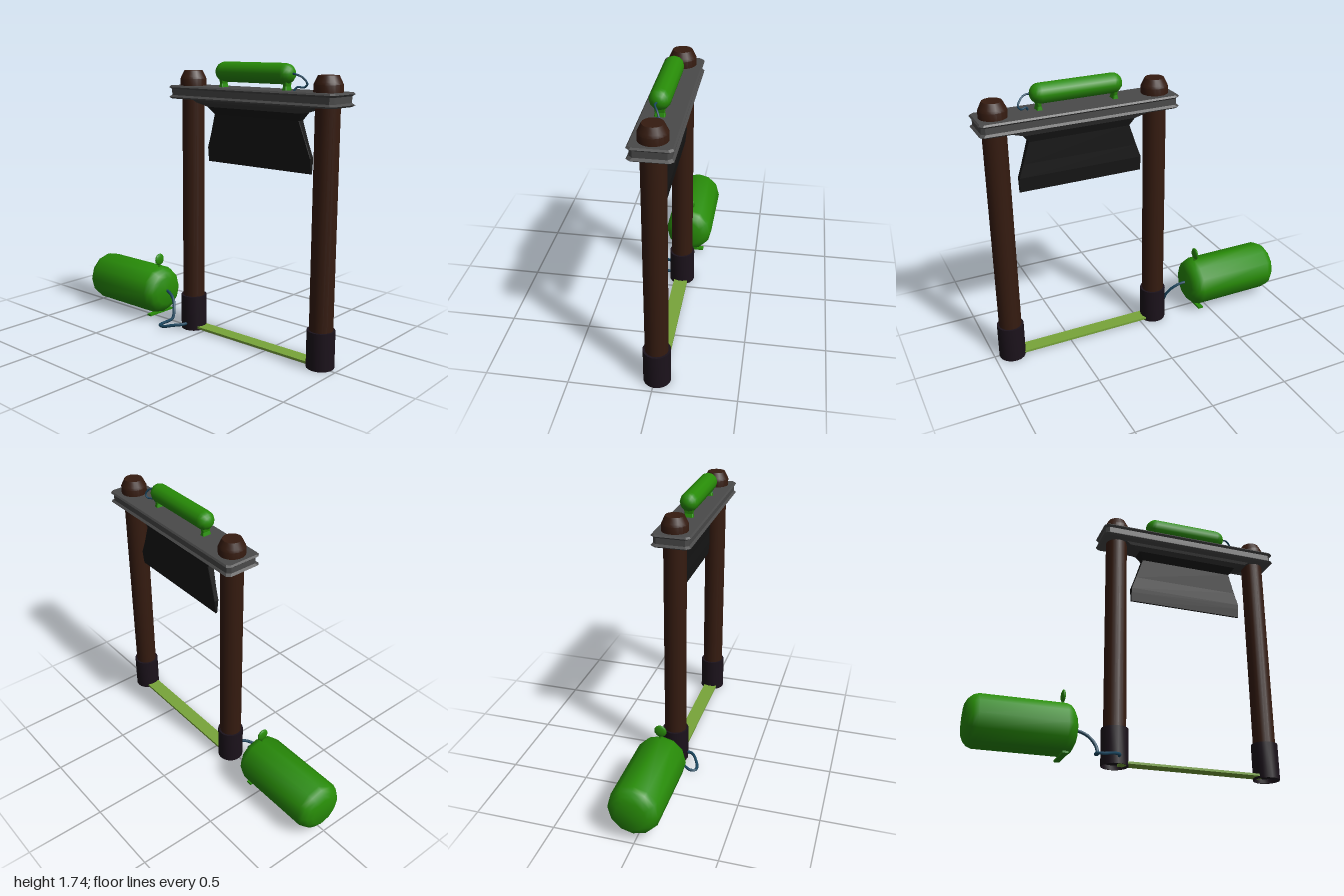
import * as THREE from 'three';
import { mergeVertices, toCreasedNormals } from 'three/addons/utils/BufferGeometryUtils.js';

const Z = -0.014; // depth of the frame's centre line
const mat = (color, flatShading = false) => new THREE.MeshStandardMaterial({ color, flatShading });
const green = mat(0x288c08), wood = mat(0x351b10), sleeve = mat(0x1b121b), hoseBlue = mat(0x1a4761);
const steel = mat(0x4a4a4a, true), darkSteel = mat(0x363636, true), rubber = mat(0x161616, true), olive = mat(0x78a53a);

function add(parent, name, geometry, material, x = 0, y = 0, z = 0) {
  const m = new THREE.Mesh(geometry, material);
  m.name = name;
  m.position.set(x, y, z);
  parent.add(m);
  return m;
}

// Closed loft through rectangles with cut corners: [y, halfX, halfZ, cut, zOffset], bottom to top
function loft(rings) {
  const pos = [], idx = [], n = 8;
  for (const [y, a, b, c = 0.004, dz = 0] of rings) {
    const loop = [[a, b - c], [a - c, b], [c - a, b], [-a, b - c], [-a, c - b], [c - a, -b], [a - c, -b], [a, c - b]];
    for (const [x, z] of loop) pos.push(x, y, z + dz);
  }
  for (let r = 0; r < rings.length - 1; r++) {
    for (let i = 0; i < n; i++) {
      const p = r * n + i, q = r * n + (i + 1) % n;
      idx.push(p, p + n, q, q, p + n, q + n);
    }
  }
  const top = (rings.length - 1) * n;
  for (let i = 1; i < n - 1; i++) {
    idx.push(0, i, i + 1);
    idx.push(top, top + i + 1, top + i);
  }
  const g = new THREE.BufferGeometry();
  g.setAttribute('position', new THREE.Float32BufferAttribute(pos, 3));
  g.setIndex(idx);
  const flat = g.toNonIndexed();
  flat.computeVertexNormals();
  return flat;
}

// Turned shape from [radius, height] pairs, bottom to top
function turned(profile, sides, crease = 0.7) {
  const g = new THREE.LatheGeometry(profile.map(([r, y]) => new THREE.Vector2(r, y)), sides);
  g.deleteAttribute('normal');
  g.deleteAttribute('uv');
  return toCreasedNormals(mergeVertices(g, 1e-4), crease);
}

function hose(parent, name, points, radius) {
  const curve = new THREE.CatmullRomCurve3(points.map(p => new THREE.Vector3(...p)));
  return add(parent, name, new THREE.TubeGeometry(curve, 40, radius, 6), hoseBlue);
}

export function createModel() {
  const model = new THREE.Group();
  model.name = 'frameWithTanks';

  // Two posts with ground sleeves (recessed underneath) and tapered caps
  for (const [side, x] of [['right', -0.106], ['left', 0.887]]) {
    const post = new THREE.Group();
    post.name = side + 'Post';
    post.position.set(x, 0, Z);
    add(post, 'shaft', new THREE.CylinderGeometry(0.07, 0.07, 1.54, 18), wood, 0, 0.82, 0);
    add(post, 'sleeve', turned([
      [0, 0.028], [0.077, 0.028], [0.077, 0], [0.083, 0], [0.083, 0.228], [0, 0.228],
    ], 18), sleeve);
    add(post, 'cap', turned([[0, 1.57], [0.082, 1.57], [0.082, 1.63], [0.075, 1.645], [0.058, 1.68], [0, 1.682]], 18, 0.5), wood);
    model.add(post);
  }

  // Grooved top plate
  add(model, 'topPlate', loft([
    [1.508, 0.595, 0.109, 0.02], [1.518, 0.608, 0.121, 0.02], [1.53, 0.595, 0.108, 0.02],
    [1.567, 0.595, 0.108, 0.02], [1.578, 0.608, 0.121, 0.02], [1.588, 0.6, 0.113, 0.02],
  ]), steel, 0.389, 0, Z);

  // Funnel under the plate and the curtain hanging from it
  add(model, 'funnel', loft([
    [1.465, 0.345, 0.045, 0.004, -0.005], [1.49, 0.42, 0.062], [1.512, 0.455, 0.07],
  ]), darkSteel, 0.389, 0, Z);
  add(model, 'curtain', loft([
    [1.12, 0.385, 0.006, 0.002, -0.027], [1.18, 0.385, 0.013, 0.003, -0.027], [1.21, 0.385, 0.016, 0.003, -0.027],
    [1.29, 0.357, 0.016, 0.003, -0.022], [1.42, 0.314, 0.022, 0.003, -0.014], [1.467, 0.347, 0.045, 0.004, -0.005],
  ]), rubber, 0.389, 0, Z);

  // Strip on the ground between the posts
  add(model, 'groundStrip', new THREE.BoxGeometry(0.93, 0.014, 0.09), olive, 0.389, 0.02, Z);

  // Small tank on the plate
  const small = new THREE.Group();
  small.name = 'smallTank';
  small.position.set(0.386, 1.68, -0.002);
  const body = add(small, 'smallTankBody', new THREE.CapsuleGeometry(0.06, 0.443, 5, 12), green);
  body.rotation.z = Math.PI / 2;
  for (const x of [-0.233, 0.233]) {
    add(small, 'smallTankFoot', loft([[-0.097, 0.018, 0.03], [-0.07, 0.011, 0.026], [-0.03, 0.016, 0.032]]), green, x, 0, 0);
  }
  model.add(small);
  hose(model, 'smallHose', [
    [0.65, 1.682, 0], [0.685, 1.68, 0.012], [0.725, 1.66, -0.008], [0.743, 1.625, -0.022],
    [0.725, 1.607, -0.018], [0.69, 1.608, 0], [0.675, 1.58, 0.015],
  ], 0.006);

  // Large tank lying beside the frame
  const large = new THREE.Group();
  large.name = 'largeTank';
  large.position.set(-0.677, 0.19, Z - 0.002);
  const tank = add(large, 'largeTankBody', turned([
    [0, -0.323], [0.095, -0.323], [0.127, -0.307], [0.15, -0.284], [0.161, -0.255],
    [0.161, 0.255], [0.15, 0.284], [0.127, 0.307], [0.095, 0.323], [0, 0.323],
  ], 12, 0.8), green);
  tank.rotation.z = Math.PI / 2;
  add(large, 'valveStem', new THREE.CylinderGeometry(0.006, 0.008, 0.05, 8), green, 0.25, 0.172, 0);
  const wheel = add(large, 'valveWheel', new THREE.SphereGeometry(0.04, 12, 8), green, 0.25, 0.21, 0);
  wheel.scale.set(0.33, 1, 1);
  add(large, 'footBar', new THREE.BoxGeometry(0.034, 0.012, 0.21), green, 0.25, -0.16, 0);
  model.add(large);
  hose(model, 'largeHose', [
    [-0.37, 0.195, -0.017], [-0.33, 0.19, -0.008], [-0.275, 0.16, 0.01], [-0.238, 0.1, 0.04], [-0.232, 0.045, 0.065],
    [-0.262, 0.022, 0.125], [-0.255, 0.02, 0.158], [-0.22, 0.02, 0.163], [-0.16, 0.035, 0.138],
    [-0.11, 0.043, 0.098], [-0.1, 0.043, 0.04],
  ], 0.01);

  return model;
}
